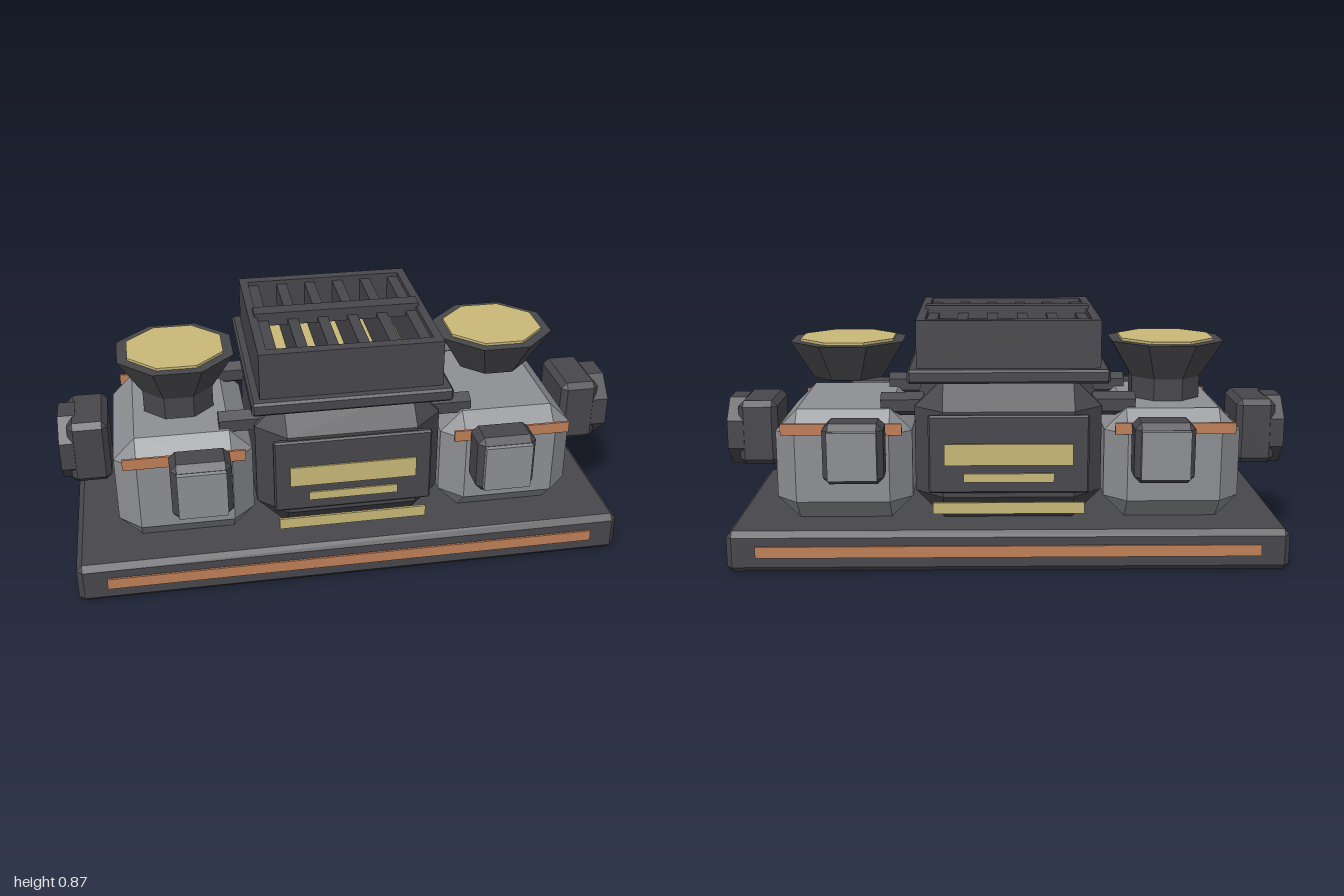
import * as THREE from 'three';
import { ConvexGeometry } from 'three/addons/geometries/ConvexGeometry.js';

const mat = (name, color) => {
  const m = new THREE.MeshStandardMaterial({ color });
  m.name = name;
  return m;
};

export function createModel() {
  const dark = mat('gunmetal', 0x48474c);
  const grey = mat('steel', 0x8d8f93);
  const gold = mat('gold', 0xc9b878);
  const copper = mat('copper', 0xc08058);

  const model = new THREE.Group();
  model.name = 'machine';
  const body = new THREE.Group();
  body.name = 'body';
  body.position.x = -0.004;
  model.add(body);

  const add = (name, geometry, material, x, y, z) => {
    const mesh = new THREE.Mesh(geometry, material);
    mesh.name = name;
    mesh.position.set(x, y, z);
    body.add(mesh);
    return mesh;
  };

  // Box spanning y0..y1, centred on x and z; c chamfers every edge
  const box = (name, material, x, z, w, d, y0, y1, c = 0) => {
    const h = y1 - y0;
    let geometry = new THREE.BoxGeometry(w, h, d);
    if (c) {
      const points = [];
      for (const sx of [-1, 1]) for (const sy of [-1, 1]) for (const sz of [-1, 1]) {
        const [a, b, e] = [sx * w / 2, sy * h / 2, sz * d / 2];
        points.push(
          new THREE.Vector3(a, b - sy * c, e - sz * c),
          new THREE.Vector3(a - sx * c, b, e - sz * c),
          new THREE.Vector3(a - sx * c, b - sy * c, e));
      }
      geometry = new ConvexGeometry(points);
    }
    return add(name, geometry, material, x, (y0 + y1) / 2, z);
  };

  // Flat-sided prism whose radii are measured to the flats
  const prism = (top, bottom, height, sides = 8) => {
    const k = 1 / Math.cos(Math.PI / sides);
    return new THREE.CylinderGeometry(top * k, bottom * k, height, sides)
      .rotateY(Math.PI / sides).toNonIndexed();
  };
  const facet = (geometry) => {
    geometry.computeVertexNormals();
    return geometry;
  };

  // Base and central housing
  box('base', dark, 0, 0, 1.932, 0.835, 0, 0.145, 0.02);
  box('core', dark, 0, 0, 0.65, 0.69, 0.145, 0.645, 0.1);

  // Roof tray and open grille box
  box('roofPlate', dark, 0, 0, 0.685, 0.725, 0.645, 0.692, 0.008);
  box('grilleFloor', dark, 0, 0, 0.6, 0.64, 0.688, 0.697);
  for (const s of [-1, 1]) {
    box('grilleSideWall', dark, s * 0.297, 0, 0.03, 0.656, 0.688, 0.855);
    box('grilleEndWall', dark, 0, s * 0.308, 0.57, 0.04, 0.688, 0.855);
  }
  for (let i = 0; i < 6; i++) {
    box('grilleFin', dark, (i - 2.5) * 0.105, 0, 0.037, 0.58, 0.69, 0.84);
  }
  for (let i = 0; i < 5; i++) {
    box('grilleGlow', gold, (i - 2) * 0.105, 0, 0.068, 0.575, 0.697, 0.704);
  }
  box('grilleCrossbar', dark, 0, 0, 0.585, 0.06, 0.82, 0.867);

  // Front and back details
  for (const s of [-1, 1]) {
    box('baseStripe', copper, 0, s * 0.42, 1.73, 0.009, 0.055, 0.095);
    box('corePanel', dark, 0, s * 0.345, 0.55, 0.026, 0.263, 0.535, 0.006);
    box('wideLight', gold, 0, s * 0.36, 0.44, 0.009, 0.363, 0.437);
    box('narrowLight', gold, 0, s * 0.36, 0.31, 0.009, 0.303, 0.334);
    box('lowerLight', gold, 0, s * 0.355, 0.52, 0.009, 0.19, 0.23);
  }

  for (const side of [-1, 1]) {
    const x = side * 0.573;

    // Tank with clamps and bands
    box('tank', grey, x, 0, 0.475, 0.63, 0.145, 0.535, 0.076);
    for (const s of [-1, 1]) {
      box('tankBand', copper, x, s * 0.317, 0.415, 0.009, 0.46, 0.5);
      const cx = side * 0.523;
      box('clamp', dark, cx, s * 0.375, 0.205, 0.13, 0.315, 0.523, 0.022);
      box('clampFace', grey, cx, s * 0.44, 0.165, 0.036, 0.335, 0.5);

      // Hexagonal pipe joining the tank to the core
      const pipe = new THREE.CylinderGeometry(0.042, 0.042, 0.15, 6).toNonIndexed();
      pipe.rotateZ(Math.PI / 2).rotateX(Math.PI / 2);
      add('pipe', facet(pipe), dark, side * 0.37, 0.543, s * 0.19);
    }

    // Funnel; only the right one stands on a neck
    if (side < 0) {
      add('funnelNeck', facet(prism(0.122, 0.122, 0.085)), dark, x, 0.575, 0);
    }
    add('funnel', facet(prism(0.2, 0.122, 0.133)), dark, x, 0.679, 0);
    add('funnelGlow', facet(prism(0.165, 0.165, 0.009)), gold, x, 0.75, 0);

    // End coupling: chamfered block with an octagonal cap
    box('couplingBlock', dark, side * 0.895, 0, 0.14, 0.25, 0.303, 0.537, 0.02);
    const end = side > 0 ? 1.004 : 0.996;
    const cap = prism(0.124, 0.124, 0.06).rotateZ(Math.PI / 2);
    add('couplingCap', facet(cap), dark, side * (end - 0.03), 0.416, 0);
  }

  return model;
}
